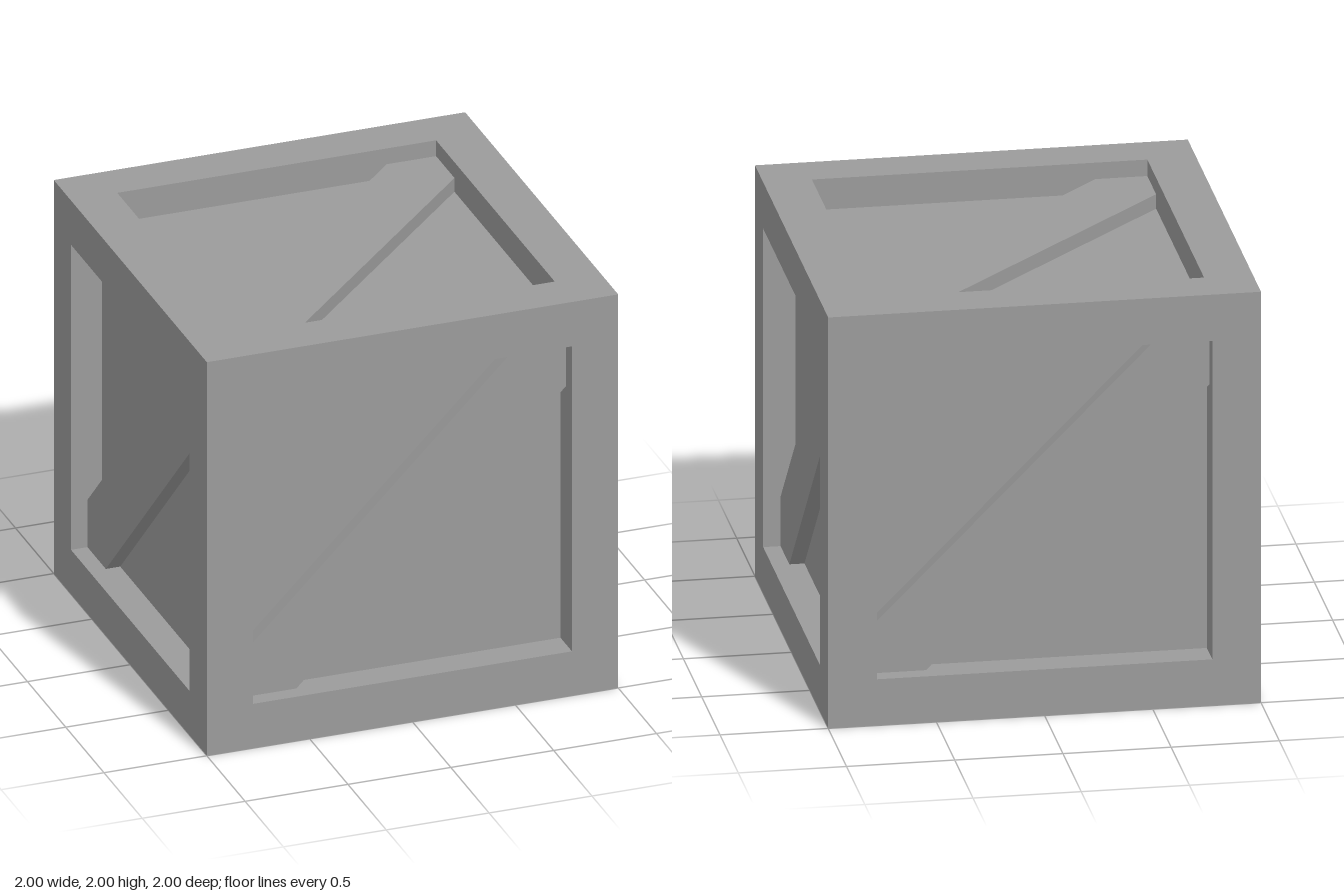
import * as THREE from 'three';

const HALF = 1;        // half the crate's side
const OPEN = 0.775;    // half the opening inside the frame
const PANEL = 0.85;    // distance of the panels from the centre
const BRACE = 0.92;    // distance of the brace fronts from the centre
const BAND = 0.24;     // vertical half-width of the diagonal brace

const material = new THREE.MeshStandardMaterial({ color: 0x9b9b9b, flatShading: true });

function part(name, geometry) {
  const mesh = new THREE.Mesh(geometry, material);
  mesh.name = name;
  return mesh;
}

// Square border with inner walls: a four-sided lathe turned to face +z
function frameGeometry() {
  const profile = [[HALF, HALF], [OPEN, HALF], [OPEN, PANEL]]
    .map(([r, h]) => new THREE.Vector2(r * Math.SQRT2, h));
  const geometry = new THREE.LatheGeometry(profile, 4, Math.PI / 4).toNonIndexed();
  geometry.rotateX(Math.PI / 2);
  geometry.computeVertexNormals();
  return geometry;
}

// Diagonal plank cut to the corners of the opening
function braceGeometry() {
  const o = OPEN, c = OPEN - BAND;
  const outline = [[-o, -o], [-c, -o], [o, c], [o, o], [c, o], [-o, -c]]
    .map(([x, y]) => new THREE.Vector2(x, y));
  const geometry = new THREE.ExtrudeGeometry(new THREE.Shape(outline), {
    depth: BRACE - PANEL, bevelEnabled: false,
  });
  return geometry.translate(0, 0, PANEL);
}

export function createModel() {
  const crate = new THREE.Group();
  crate.name = 'crate';

  const frame = frameGeometry();
  const panel = new THREE.PlaneGeometry(2 * OPEN, 2 * OPEN).translate(0, 0, PANEL);
  const brace = braceGeometry();

  // The same side repeated on all six faces
  const q = Math.PI / 2;
  const sides = {
    front: [0, 0, 0],
    left: [0, q, 0],
    back: [0, 2 * q, 0],
    right: [0, -q, 0],
    top: [-q, 0, 0],
    bottom: [q, 0, q],
  };
  for (const [name, turn] of Object.entries(sides)) {
    const side = new THREE.Group();
    side.name = name + 'Side';
    side.add(part('frame', frame), part('panel', panel), part('brace', brace));
    side.rotation.set(...turn);
    side.position.y = HALF;
    crate.add(side);
  }
  return crate;
}
